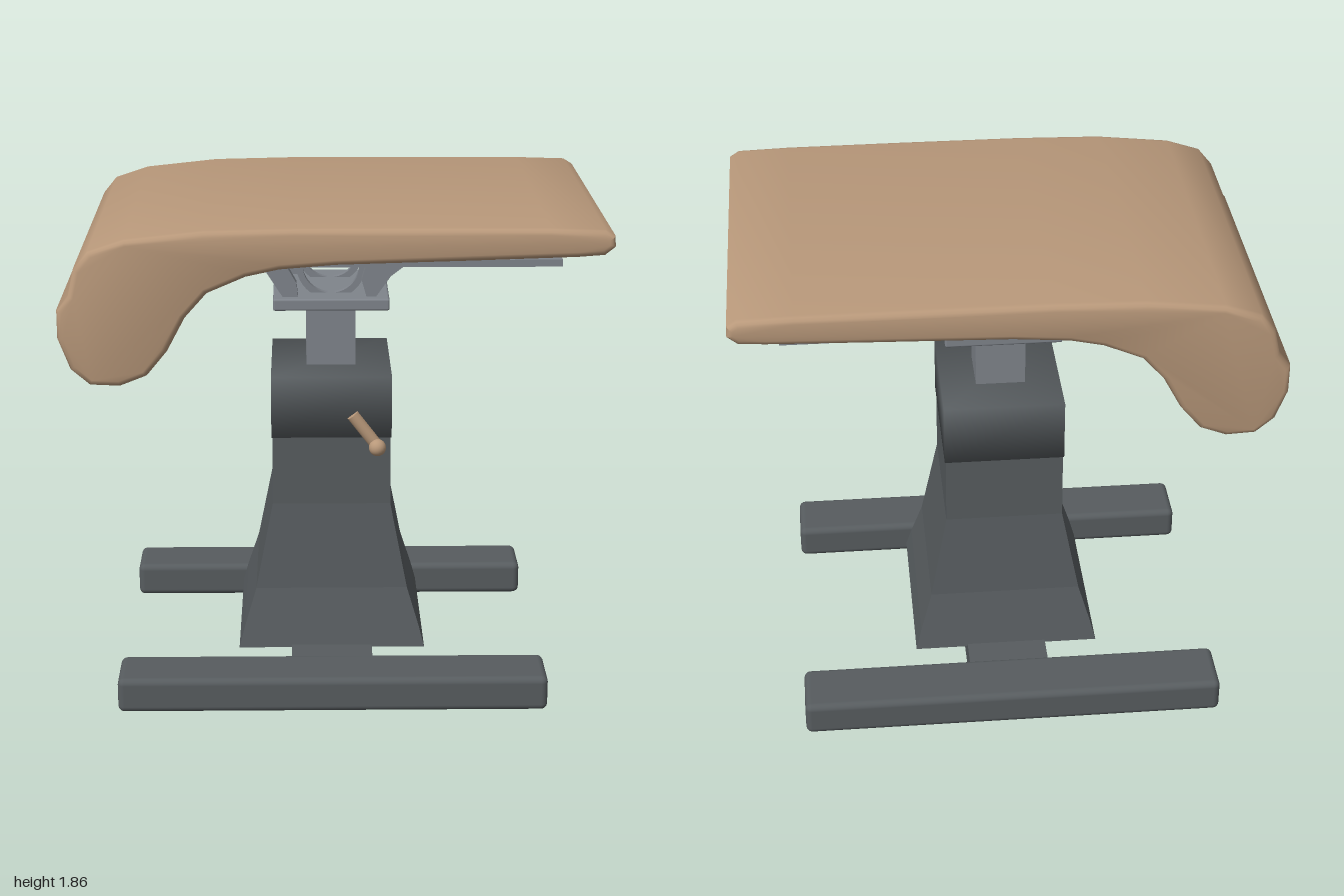
import * as THREE from 'three';
import { mergeVertices, toCreasedNormals } from 'three/addons/utils/BufferGeometryUtils.js';
import { RoundedBoxGeometry } from 'three/addons/geometries/RoundedBoxGeometry.js';

const CX = -0.01; // pedestal axis

function material(name, color) {
  const m = new THREE.MeshStandardMaterial({ color });
  m.name = name;
  return m;
}

function polygon(points) {
  return new THREE.Shape(points.map(([x, y]) => new THREE.Vector2(x, y)));
}

// Extrusion centred on z = 0
function slab(shape, depth, options = {}) {
  const g = new THREE.ExtrudeGeometry(shape, { depth, bevelEnabled: false, ...options });
  return g.translate(0, 0, -depth / 2);
}

// Four-sided tapering column, one [y, halfX, halfZ] row per level
function taperedColumn(rows) {
  const n = rows.length - 1;
  const box = new THREE.BoxGeometry(2, 2, 2, 1, n, 1);
  const p = box.attributes.position;
  for (let i = 0; i < p.count; i++) {
    const [y, hx, hz] = rows[Math.round((p.getY(i) + 1) / 2 * n)];
    // Evenly spaced box rows take on the profile of the column
    p.setXYZ(i, p.getX(i) * hx, y, p.getZ(i) * hz);
  }
  const g = box.toNonIndexed();
  g.computeVertexNormals();
  return g;
}

// Box whose normals are averaged around its corners
function softBox(w, h, d) {
  const g = new THREE.BoxGeometry(w, h, d);
  g.deleteAttribute('normal');
  g.deleteAttribute('uv');
  const welded = mergeVertices(g);
  welded.computeVertexNormals();
  return welded;
}

export function createModel() {
  const model = new THREE.Group();
  model.name = 'padded pedestal rest';
  const tan = material('tan leather', 0xb8987a);
  const dark = material('dark grey', 0x575c5f);
  const metal = material('grey metal', 0x7f848b);

  const add = (name, geometry, mat, x = 0, y = 0, z = 0) => {
    const mesh = new THREE.Mesh(geometry, mat);
    mesh.name = name;
    mesh.position.set(x, y, z);
    model.add(mesh);
    return mesh;
  };

  // Floor base: two rails joined by a cross beam
  for (const s of [1, -1]) {
    add(s > 0 ? 'frontRail' : 'backRail', new RoundedBoxGeometry(1.62, 0.135, 0.235, 3, 0.025),
      dark, CX, 0.0675, s * 0.5825);
  }
  add('crossBeam', new THREE.BoxGeometry(0.31, 0.125, 1.0), dark, CX, 0.0645, 0);

  // Flared column and its head
  add('column', taperedColumn([
    [0.118, 0.36, 0.36], [0.2, 0.338, 0.34], [0.345, 0.293, 0.305],
    [0.68, 0.227, 0.268], [0.96, 0.226, 0.268],
  ]), dark, CX);
  add('columnHead', softBox(0.46, 0.24, 0.548), dark, CX, 1.07, 0);

  // Lifting post and mounting plates
  add('post', new THREE.BoxGeometry(0.19, 0.27, 0.2), metal, CX, 1.32, 0);
  add('lowerPlate', new RoundedBoxGeometry(0.44, 0.046, 0.474, 2, 0.008), metal, CX, 1.463, 0);
  add('upperPlate', new THREE.BoxGeometry(1.1, 0.026, 1.18), metal, 0.265, 1.709, 0);

  // Tilt rings and curved bracket arms on both sides
  const ring = new THREE.Shape().absarc(0, 0, 0.132, 0, Math.PI * 2);
  ring.holes.push(new THREE.Path().absarc(0, 0, 0.108, 0, Math.PI * 2, true));
  const ringGeo = toCreasedNormals(slab(ring, 0.027, { curveSegments: 20 }), 0.6);
  const leftArm = slab(polygon([
    [-0.19, 1.48], [-0.28, 1.62], [-0.38, 1.68], [-0.36, 1.7], [-0.29, 1.7],
    [-0.19, 1.625], [-0.142, 1.54], [-0.135, 1.48],
  ]), 0.045);
  const rightArm = slab(polygon([
    [0.155, 1.48], [0.215, 1.565], [0.312, 1.64], [0.48, 1.7], [0.225, 1.7],
    [0.125, 1.62], [0.105, 1.55], [0.125, 1.48],
  ]), 0.045);
  for (const s of [1, -1]) {
    add('tiltRing', ringGeo, metal, CX, 1.593, s * 0.122);
    add('innerArm', leftArm, metal, 0, 0, s * 0.178);
    add('outerArm', rightArm, metal, 0, 0, s * 0.178);
  }

  // Cushion with a thick rolled end
  const profile = polygon([
    [0.955, 1.847], [0.99, 1.825], [0.993, 1.785], [0.955, 1.755], [0.86, 1.748], [0.49, 1.736],
    [0, 1.722], [-0.2, 1.706], [-0.32, 1.68], [-0.46, 1.62], [-0.54, 1.53], [-0.606, 1.406],
    [-0.68, 1.316], [-0.777, 1.278], [-0.885, 1.283], [-0.954, 1.342], [-0.997, 1.455],
    [-0.997, 1.56], [-0.954, 1.615], [-0.932, 1.711], [-0.88, 1.775], [-0.75, 1.818],
    [-0.47, 1.848], [-0.15, 1.855], [0.33, 1.855], [0.76, 1.853],
  ]);
  add('cushion', toCreasedNormals(slab(profile, 1.31, {
    bevelEnabled: true, bevelThickness: 0.028, bevelSize: 0.022, bevelOffset: -0.022, bevelSegments: 3,
  }), 0.7), tan);

  // Locking lever with a ball end
  const lever = add('lever', new THREE.CylinderGeometry(0.024, 0.024, 0.155, 16), tan, 0.117, 0.98, 0.277);
  lever.rotation.z = Math.atan2(0.095, 0.125);
  add('leverKnob', new THREE.SphereGeometry(0.033, 20, 14), tan, 0.165, 0.917, 0.298);

  return model;
}
